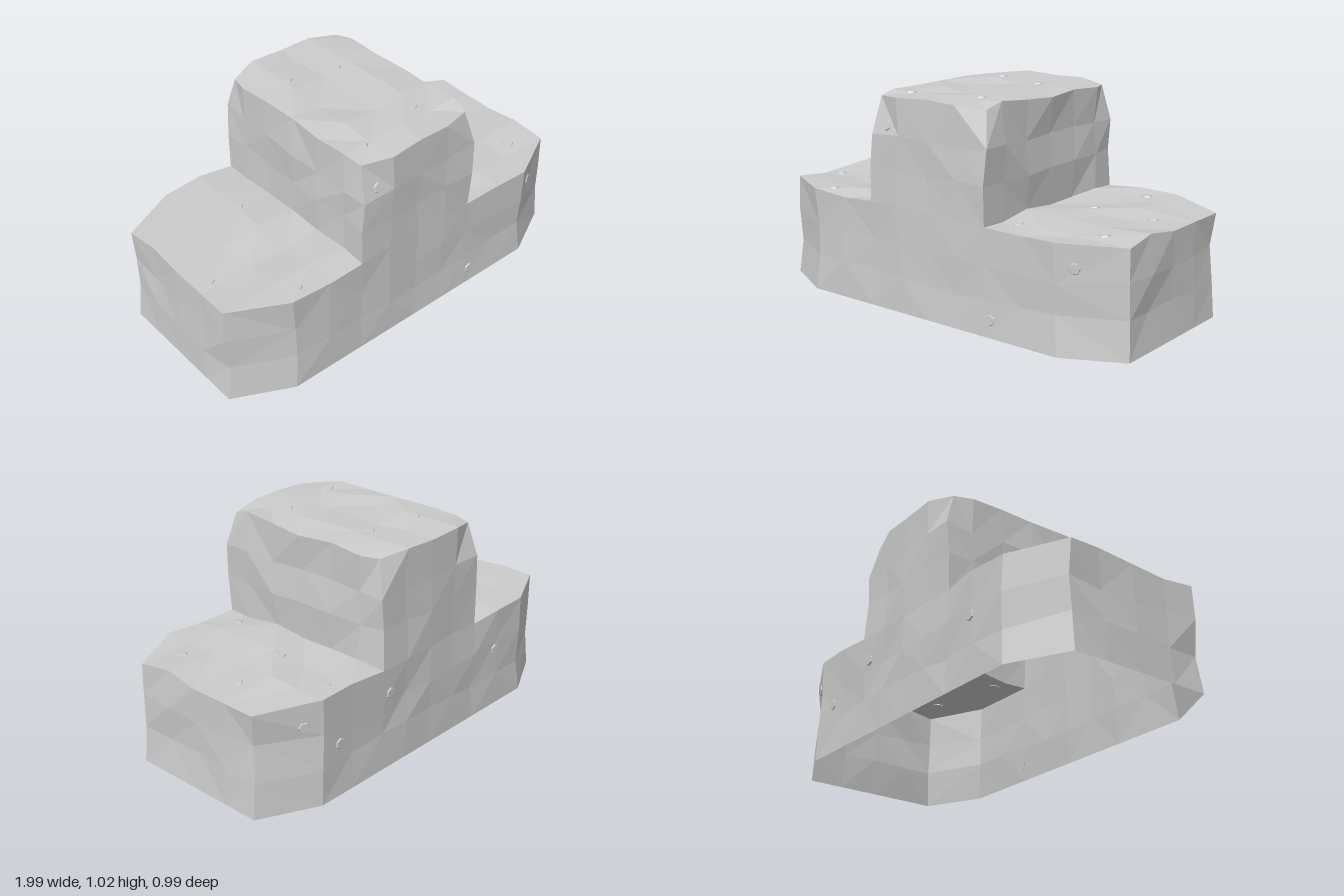
import * as THREE from 'three';

const material = new THREE.MeshStandardMaterial({ color: 0xcccccc, flatShading: true, side: THREE.DoubleSide });

// Grid lines shared by neighbouring parts, so their seams meet
const D = 0.485;                       // half depth
const ZS = [0.35, 0.18, 0, -0.18, -0.35];
const TOWER_XS = [-0.33, -0.17, 0, 0.17, 0.33];
const STEP_XS = [0.33, 0.52, 0.71, 0.98];

// Repeatable noise in -1..1 from a position
function noise(x, y, z, k) {
  const s = Math.sin(x * 127.1 + y * 311.7 + z * 74.7 + k * 53.3) * 43758.5453;
  return (s - Math.floor(s)) * 2 - 1;
}

// Roughen a point: the same point always moves the same way
function weather([x, y, z]) {
  [x, y, z] = [x, y, z].map(v => Math.round(v * 1000) / 1000 + 0);
  const n = k => noise(x, y, z, k);
  let px = x + n(1) * 0.012, py = y + n(2) * 0.013, pz = z + n(3) * 0.008;
  if (y === 0) { py = 0; px = x * 1.015; pz = z * 1.015; }
  // worn top corners of the upper block
  if (y > 0.95 && Math.abs(x) > 0.3 && Math.abs(z) > 0.45) {
    px = Math.sign(x) * 0.305;
    pz = Math.sign(z) * 0.44;
    py = 0.995;
  }
  return [px, py, pz];
}

// Rough faceted sheet through a grid of points
function sheet(name, us, vs, point) {
  const positions = [];
  const tri = (a, b, c) => {
    const [p, q, r] = [a, b, c].map(v => new THREE.Vector3(...v));
    if (q.clone().sub(p).cross(r.clone().sub(p)).length() > 1e-6) positions.push(...a, ...b, ...c);
  };
  for (let i = 0; i < us.length - 1; i++) {
    for (let j = 0; j < vs.length - 1; j++) {
      const at = (di, dj) => weather(point(us[i + di], vs[j + dj]));
      const a = at(0, 0), b = at(1, 0), c = at(1, 1), d = at(0, 1);
      if (noise(i, j, us.length, 7) > -0.3) { tri(a, b, c); tri(a, c, d); }
      else { tri(a, b, d); tri(b, c, d); }
    }
  }
  const g = new THREE.BufferGeometry();
  g.setAttribute('position', new THREE.Float32BufferAttribute(positions, 3));
  g.computeVertexNormals();
  const mesh = new THREE.Mesh(g, material);
  mesh.name = name;
  return mesh;
}

// Wall standing on a plan outline of [x, z] points
const wall = (name, outline, ys) => sheet(name, outline, ys, ([x, z], y) => [x, y, z]);

// Half depth of the base at x, narrowing at the cut corners
function depthAt(x) {
  const t = Math.max(0, (Math.abs(x) - 0.71) / 0.27);
  return THREE.MathUtils.lerp(D, 0.35, t);
}

export function createModel() {
  const group = new THREE.Group();
  group.name = 'steppedRock';

  // Base walls: an octagon, open underneath
  const xs = [-0.71, -0.52, ...TOWER_XS, 0.52, 0.71];
  const half = [...xs.map(x => [x, D]), ...ZS.map(z => [0.98, z])];
  const base = [...half, ...half.map(([x, z]) => [-x, -z]), half[0]];
  group.add(wall('baseWalls', base, [0, 0.17, 0.33, 0.5]));

  // Upper block walls, resting on the front and back of the base
  const towerHalf = [...TOWER_XS.map(x => [x, D]), ...ZS.map(z => [0.33, z])];
  const tower = [...towerHalf, ...towerHalf.map(([x, z]) => [-x, -z]), towerHalf[0]];
  group.add(wall('upperBlockWalls', tower, [0.5, 0.67, 0.83, 1.01]));

  // Flat tops
  const zRows = [D, ...ZS, -D];
  const clampZ = (x, z) => THREE.MathUtils.clamp(z, -depthAt(x), depthAt(x));
  const top = (name, cols, y) => group.add(sheet(name, cols, zRows, (x, z) => [x, y, clampZ(x, z)]));
  top('upperBlockTop', TOWER_XS, 1.01);
  top('leftStepTop', STEP_XS, 0.5);
  top('rightStepTop', STEP_XS.map(x => -x).reverse(), 0.5);

  // Small flat pebbles pressed into the surface
  const shell = [...group.children];
  const ray = new THREE.Raycaster();
  const up = new THREE.Vector3(0, 1, 0);
  const pebbleGeometry = new THREE.CylinderGeometry(0.024, 0.03, 0.01, 6);
  function pebble(from, direction) {
    ray.set(new THREE.Vector3(...from), new THREE.Vector3(...direction).normalize());
    const hit = ray.intersectObjects(shell)[0];
    if (!hit) return;
    const mesh = new THREE.Mesh(pebbleGeometry, material);
    mesh.name = 'pebble';
    mesh.position.copy(hit.point);
    mesh.quaternion.setFromUnitVectors(up, hit.face.normal);
    group.add(mesh);
  }
  const onTop = [
    [0.41, 0.35], [0.53, -0.06], [0.6, -0.4], [0.82, -0.09], [0.81, 0.28],
    [0.14, 0.27], [-0.21, 0.34], [0.1, -0.2], [-0.15, -0.25],
    [-0.9, 0.13], [-0.65, 0.42], [-0.5, -0.2],
  ];
  onTop.forEach(([x, z]) => pebble([x, 2, z], [0, -1, 0]));
  [[-0.24, 0.87], [0.36, 0.08]].forEach(([x, y]) => pebble([x, y, 2], [0, 0, -1]));
  [[0.6, 0.25], [0.28, 0.37], [-0.5, 0.3]].forEach(([x, y]) => pebble([x, y, -2], [0, 0, 1]));
  [0.45, -0.45].forEach(z => pebble([2, 0.39, z], [-1, 0, 0]));

  return group;
}
